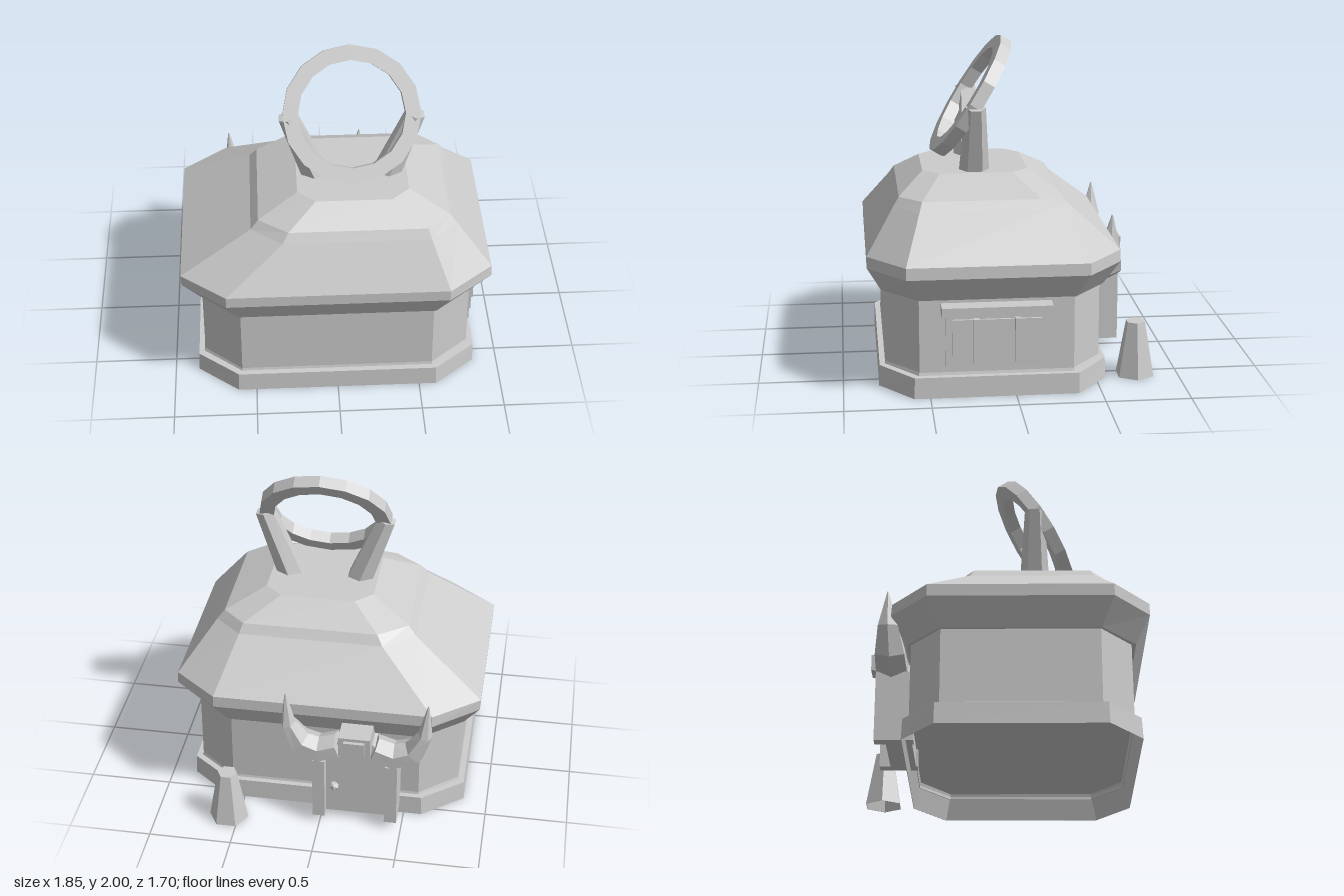
import * as THREE from 'three';

const stone = new THREE.MeshStandardMaterial({ color: 0xcccccc, flatShading: true, side: THREE.DoubleSide });
stone.name = 'light grey';

// Skin a stack of equal-sized rings, with both ends closed
function loft(rings) {
  const pos = [];
  const tri = (a, b, c) => pos.push(...a, ...b, ...c);
  const n = rings[0].length;
  for (let r = 0; r < rings.length - 1; r++) {
    for (let i = 0; i < n; i++) {
      const j = (i + 1) % n, lo = rings[r], hi = rings[r + 1];
      tri(lo[i], lo[j], hi[j]);
      tri(lo[i], hi[j], hi[i]);
    }
  }
  const first = rings[0], last = rings[rings.length - 1];
  for (let i = 1; i < n - 1; i++) {
    tri(first[0], first[i + 1], first[i]);
    tri(last[0], last[i], last[i + 1]);
  }
  const g = new THREE.BufferGeometry();
  g.setAttribute('position', new THREE.Float32BufferAttribute(pos, 3));
  g.computeVertexNormals();
  return g;
}

// Rectangle with cut corners: outer x and z limits, then limits of the straight edges
const octagon = (y, x0, x1, z0, z1, a0, a1, b0, b1) => [
  [a0, y, z1], [a1, y, z1], [x1, y, b1], [x1, y, b0],
  [a1, y, z0], [a0, y, z0], [x0, y, b0], [x0, y, b1],
];

// Hexagon, optionally turned about y and sloping along x
const hexagon = (x, y, z, r, turn = 0, slope = 0) => Array.from({ length: 6 }, (_, i) => {
  const a = turn + i * Math.PI / 3, dx = r * Math.cos(a);
  return [x + dx, y + slope * dx, z - r * Math.sin(a)];
});

export function createModel() {
  const model = new THREE.Group();
  model.name = 'hut';
  const add = (name, geometry, parent = model) => {
    const mesh = new THREE.Mesh(geometry, stone);
    mesh.name = name;
    parent.add(mesh);
    return mesh;
  };
  const group = (name) => {
    const g = new THREE.Group();
    g.name = name;
    model.add(g);
    return g;
  };
  const box = (name, parent, x0, x1, y0, y1, z0, z1) =>
    add(name, new THREE.BoxGeometry(x1 - x0, y1 - y0, z1 - z0), parent)
      .position.set((x0 + x1) / 2, (y0 + y1) / 2, (z0 + z1) / 2);

  // Plinth and walls in one skin: raised floor, lining, plinth face, ledge, walls
  add('wallsAndPlinth', loft([
    octagon(0.16, -0.807, 0.803, -0.515, 0.742, -0.581, 0.573, -0.338, 0.558),
    octagon(0, -0.852, 0.849, -0.557, 0.787, -0.609, 0.604, -0.366, 0.592),
    octagon(0, -0.855, 0.852, -0.56, 0.79, -0.61, 0.605, -0.367, 0.593),
    octagon(0.125, -0.85, 0.848, -0.555, 0.785, -0.605, 0.6, -0.365, 0.59),
    octagon(0.126, -0.812, 0.808, -0.52, 0.747, -0.585, 0.577, -0.34, 0.56),
    octagon(0.6, -0.81, 0.806, -0.52, 0.745, -0.583, 0.575, -0.34, 0.56),
  ]));
  add('roof', loft([
    octagon(0.583, -0.83, 0.825, -0.54, 0.77, -0.59, 0.585, -0.345, 0.565),
    octagon(0.735, -0.925, 0.925, -0.632, 0.85, -0.66, 0.655, -0.415, 0.635),
    octagon(0.805, -0.928, 0.92, -0.628, 0.85, -0.66, 0.655, -0.415, 0.635),
    octagon(1.07, -0.505, 0.714, -0.33, 0.69, -0.32, 0.55, -0.184, 0.545),
    octagon(1.125, -0.46, 0.67, -0.293, 0.655, -0.285, 0.53, -0.165, 0.527),
    octagon(1.233, -0.225, 0.435, -0.115, 0.507, -0.12, 0.33, -0.02, 0.41),
  ]));

  // Tilted hoop held by two leaning legs
  const circle = (r) => Array.from({ length: 16 }, (_, i) =>
    new THREE.Vector2(r * Math.cos(i * Math.PI / 8), r * Math.sin(i * Math.PI / 8)));
  const hoopShape = new THREE.Shape(circle(0.405));
  hoopShape.holes.push(new THREE.Path(circle(0.315)));
  const hoopGeometry = new THREE.ExtrudeGeometry(hoopShape, { depth: 0.075, bevelEnabled: false });
  hoopGeometry.translate(0, 0, -0.0375);
  const hoop = add('hoop', hoopGeometry);
  hoop.position.set(0.105, 1.635, 0.204);
  hoop.rotation.x = -0.564;
  for (const s of [-1, 1]) {
    add('hoopLeg', loft([
      hexagon(0.105 + s * 0.21, 1.2, 0.2, 0.092, Math.PI / 6),
      hexagon(0.105 + s * 0.374, 1.632, 0.202, 0.06, Math.PI / 6, -s * 0.25),
    ]));
  }

  // Window on the left wall
  const win = group('window');
  box('windowFrame', win, 0.79, 0.84, 0.185, 0.51, -0.185, 0.41);
  box('windowPane', win, 0.8, 0.855, 0.23, 0.47, -0.145, 0.37);
  box('windowLintel', win, 0.79, 0.912, 0.505, 0.56, -0.205, 0.435);
  for (const z of [-0.005, 0.235]) box('windowBar', win, 0.85, 0.885, 0.213, 0.48, z - 0.016, z + 0.016);

  // Doorway at the back, with a curved horn on each side
  const door = group('doorway');
  const cx = -0.215;
  const panel = new THREE.Shape([[-0.21, 0.05], [0.21, 0.05], [0.21, 0.46], [0.1, 0.58], [-0.1, 0.58], [-0.21, 0.46]]
    .map(([x, y]) => new THREE.Vector2(x, y)));
  add('doorPanel', new THREE.ExtrudeGeometry(panel, { depth: 0.15, bevelEnabled: false }), door)
    .position.set(cx, 0, -0.66);
  add('doorKnob', new THREE.IcosahedronGeometry(0.032, 0), door).position.set(cx + 0.13, 0.26, -0.685);
  box('crestBlock', door, -0.31, -0.12, 0.545, 0.68, -0.75, -0.55);
  box('crestPlate', door, -0.278, -0.152, 0.565, 0.66, -0.772, -0.74);
  // Horn stations: x offset, y, z, radius in the bend plane, radius along z
  const stations = [
    [0.11, 0.55, -0.635, 0.07, 0.1], [0.23, 0.505, -0.635, 0.082, 0.104],
    [0.345, 0.555, -0.64, 0.075, 0.098], [0.41, 0.69, -0.65, 0.045, 0.066],
    [0.425, 0.9, -0.655, 0.004, 0.004],
  ];
  for (const s of [-1, 1]) {
    const x = cx + s * 0.22;
    box('doorPost', door, x - 0.037, x + 0.037, 0.05, 0.47, -0.725, -0.5);
    const rings = stations.map(([dx, y, z, r, rz], i) => {
      const a = stations[Math.max(i - 1, 0)], b = stations[Math.min(i + 1, stations.length - 1)];
      const t = new THREE.Vector2(s * (b[0] - a[0]), b[1] - a[1]).normalize();
      return Array.from({ length: 6 }, (_, k) => {
        const ang = (k + 0.5) * Math.PI / 3, v = r * Math.sin(ang);
        return [cx + s * dx + t.y * v, y - t.x * v, z + rz * Math.cos(ang)];
      });
    });
    add('horn', loft(rings), door);
  }

  // Free-standing tapered post behind the hut, hollow underneath
  add('taperedPost', loft([
    hexagon(0.56, 0.25, -0.745, 0.072), hexagon(0.56, 0, -0.745, 0.117),
    hexagon(0.56, 0, -0.745, 0.12), hexagon(0.56, 0.335, -0.745, 0.06),
  ]));

  return model;
}
